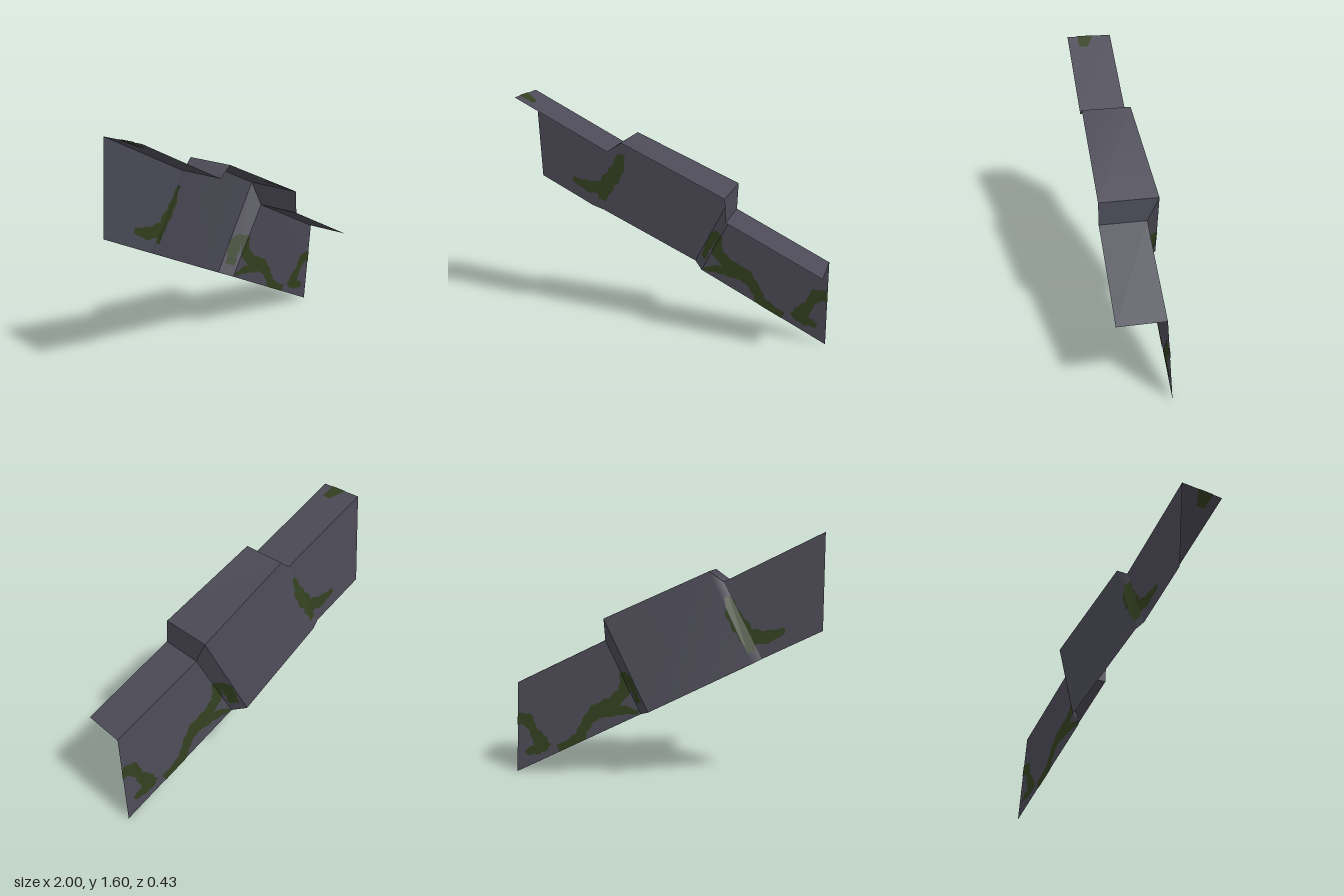
import * as THREE from 'three';

const stone = new THREE.MeshStandardMaterial({ color: 0x4b4a56, side: THREE.DoubleSide });
stone.name = 'slate grey';
const moss = new THREE.MeshStandardMaterial({ color: 0x323f1e, side: THREE.DoubleSide });
moss.name = 'moss green';

const FRONT = 0.21; // z of the ledge's front edge
const SKIN = 0.003; // height of the moss above the stone
const vec = (p) => new THREE.Vector3(...p);

// Upper and lower rims of the wall, from the model's right to its left
const upper = [[-1, 1.6, -0.09], [-0.38, 1.29, -0.09], [-0.29, 1.355, -0.11],
  [0.38, 1.05, -0.165], [0.39, 0.9, -0.09], [1, 0.6, -0.09]].map(vec);
const lower = [[-1, 1, -0.135], [-0.63, 0.815, -0.135], [-0.57, 0.785, -0.16],
  [0.08, 0.46, -0.215], [0.145, 0.43, -0.135], [1, 0, -0.135]].map(vec);
const frontRim = upper.map((p) => p.clone().setZ(FRONT));

// Spans of rim points; normals are smooth within a span and sharp between them
const spans = [['highPanel', 0, 1], ['bulge', 1, 3], ['bulgeEnd', 3, 4], ['lowPanel', 4, 5]];

// Moss on the wall as strokes: x, y and half width at each point
const strokes = {
  highMoss: [[-0.41, 1.2, 0.02], [-0.45, 1.08, 0.045], [-0.52, 0.98, 0.05], [-0.57, 0.86, 0.025]],
  highMossBranch: [[-0.77, 1, 0.015], [-0.66, 0.955, 0.04], [-0.53, 0.95, 0.05]],
  middleMossLeg: [[0.15, 0.51, 0.02], [0.19, 0.61, 0.025], [0.23, 0.68, 0.025], [0.28, 0.68, 0.02]],
  middleMoss: [[0.27, 0.69, 0.02], [0.26, 0.58, 0.04], [0.34, 0.495, 0.04], [0.45, 0.43, 0.045],
    [0.52, 0.34, 0.035], [0.57, 0.25, 0.035], [0.71, 0.17, 0.025]],
  middleMossBranch: [[0.16, 0.44, 0.01], [0.27, 0.45, 0.03], [0.37, 0.42, 0.02], [0.47, 0.41, 0.025]],
  lowMoss: [[1, 0.355, 0.035], [0.93, 0.35, 0.045], [0.89, 0.29, 0.03], [0.84, 0.22, 0.05], [0.78, 0.17, 0.03]],
  lowMossBranch: [[0.79, 0.19, 0.03], [0.86, 0.16, 0.035], [0.94, 0.13, 0.015]],
};

function mesh(name, vertices, index, material) {
  const g = new THREE.BufferGeometry().setFromPoints(vertices);
  if (index) g.setIndex(index);
  g.computeVertexNormals();
  const m = new THREE.Mesh(g, material);
  m.name = name;
  return m;
}

// Sheet between two rims
function sheet(name, a, b) {
  const index = [];
  const n = a.length;
  for (let i = 0; i < n - 1; i++) index.push(i, i + 1, n + i, i + 1, n + i + 1, n + i);
  return mesh(name, [...a, ...b], index, stone);
}

// Flat triangles of a smooth ribbon along a stroke, with a slightly ragged edge
function ribbon(stroke) {
  const curve = new THREE.CatmullRomCurve3(stroke.map(vec));
  const steps = (stroke.length - 1) * 5;
  const pairs = [];
  for (let i = 0; i <= steps; i++) {
    const p = curve.getPoint(i / steps);
    const t = curve.getTangent(i / steps).setZ(0).normalize();
    const edge = (s) => {
      const w = s * p.z * (1 + 0.15 * Math.sin(i * 1.7 + s));
      return new THREE.Vector3(p.x - t.y * w, p.y + t.x * w, 0);
    };
    pairs.push([edge(1), edge(-1)]);
  }
  return pairs.slice(1).flatMap(([c, d], i) => [[pairs[i][0], pairs[i][1], c], [pairs[i][1], d, c]]);
}

// Clip a convex polygon to a triangle in x and y
function clip(poly, tri) {
  const cross = (a, b, p) => (b.x - a.x) * (p.y - a.y) - (b.y - a.y) * (p.x - a.x);
  const sign = Math.sign(cross(...tri));
  for (let e = 0; e < 3; e++) {
    const side = (p) => sign * cross(tri[e], tri[(e + 1) % 3], p);
    const out = [];
    poly.forEach((p, i) => {
      const q = poly[(i + 1) % poly.length];
      const s = side(p), t = side(q);
      if (s >= 0) out.push(p);
      if (s * t < 0) out.push(p.clone().lerp(q, s / (s - t)));
    });
    poly = out;
  }
  return poly;
}

// Drape a stroke over triangles, as a thin skin on both sides
function drape(name, stroke, triangles) {
  const vertices = [];
  const pieces = ribbon(stroke);
  for (const tri of triangles) {
    const plane = new THREE.Plane().setFromCoplanarPoints(...tri);
    const n = plane.normal;
    if (n.z < 0) plane.negate();
    for (const piece of pieces) {
      const poly = clip(piece, tri);
      for (const side of [1, -1]) {
        const pts = poly.map((p) => p.clone().setZ(-(n.x * p.x + n.y * p.y + plane.constant) / n.z)
          .addScaledVector(n, side * SKIN));
        for (let i = 1; i < pts.length - 1; i++) {
          const fan = [pts[0], pts[i], pts[i + 1]];
          const facing = new THREE.Triangle(...fan).getNormal(new THREE.Vector3()).z;
          vertices.push(...(facing * side < 0 ? fan.reverse() : fan));
        }
      }
    }
  }
  return mesh(name, vertices, null, moss);
}

export function createModel() {
  const group = new THREE.Group();
  group.name = 'rockLedge';

  // Leaning wall and the ledge on top of it
  for (const [name, from, to] of spans) {
    const part = (rim) => rim.slice(from, to + 1);
    group.add(sheet(name + 'Wall', part(lower), part(upper)));
    group.add(sheet(name + 'Ledge', part(frontRim), part(upper)));
  }

  // Moss following the wall
  const triangles = [];
  for (let i = 0; i < 5; i++) {
    triangles.push([lower[i], lower[i + 1], upper[i]], [lower[i + 1], upper[i + 1], upper[i]]);
  }
  for (const [name, stroke] of Object.entries(strokes)) group.add(drape(name, stroke, triangles));

  // Moss at the high end of the ledge, above and below
  const patch = [[-1, 0.03], [-0.91, 0.08], [-0.91, 0.14], [-1, 0.14]];
  for (const side of [1, -1]) {
    const corners = patch.map(([x, z]) => new THREE.Vector3(x, 1.1 - 0.5 * x + side * SKIN, z));
    const index = side > 0 ? [0, 2, 1, 0, 3, 2] : [0, 1, 2, 0, 2, 3];
    group.add(mesh(side > 0 ? 'ledgeMossTop' : 'ledgeMossUnder', corners, index, moss));
  }
  return group;
}
